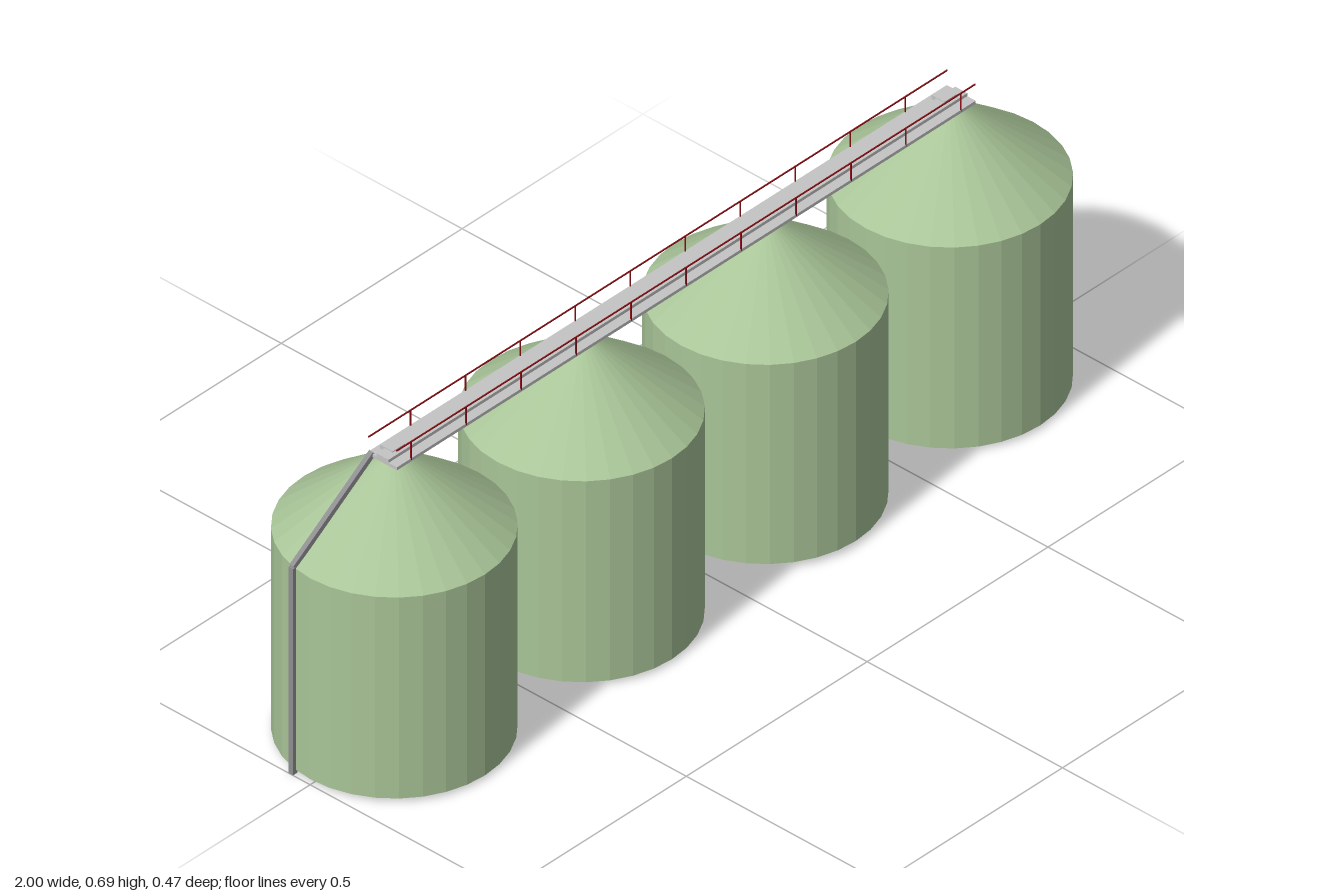
import * as THREE from 'three';

const mat = (name, color, side = THREE.FrontSide) => {
  const m = new THREE.MeshStandardMaterial({ color, side });
  m.name = name;
  return m;
};

export function createModel() {
  const model = new THREE.Group();
  const green = mat('pale green', 0xa9c598, THREE.DoubleSide);
  green.flatShading = true;
  const lightGrey = mat('light grey', 0xc4c4c4);
  const grey = mat('grey', 0x8e8e90);
  const red = mat('dark red', 0x8a1015);

  const add = (parent, name, geometry, material, x = 0, y = 0, z = 0) => {
    const mesh = new THREE.Mesh(geometry, material);
    mesh.name = name;
    mesh.position.set(x, y, z);
    parent.add(mesh);
    return mesh;
  };
  // Box given by its extents on each axis
  const box = (parent, name, material, [x0, x1], [y0, y1], [z0, z1]) =>
    add(parent, name, new THREE.BoxGeometry(x1 - x0, y1 - y0, z1 - z0), material,
      (x0 + x1) / 2, (y0 + y1) / 2, (z0 + z1) / 2);
  // Square bar between two points
  const bar = (parent, name, material, a, b, width) => {
    const mesh = add(parent, name, new THREE.BoxGeometry(width, width, a.distanceTo(b)), material);
    mesh.position.copy(a).lerp(b, 0.5);
    mesh.lookAt(b);
  };

  // Four bins: open-bottomed wall, conical roof and small cap
  const radius = 0.232, capRadius = 0.02, eave = 0.475, peak = 0.641, sides = 32;
  const bins = [[-0.764, 0.009, -0.003], [-0.252, 0.009, 0.002], [0.256, 0.013, 0.002], [0.767, 0.009, 0.001]];
  bins.forEach(([x, base, z], i) => {
    const bin = new THREE.Group();
    bin.name = `bin${i + 1}`;
    bin.position.set(x, 0, z);
    add(bin, 'wall', new THREE.CylinderGeometry(radius, radius, eave - base, sides, 1, true), green, 0, (eave + base) / 2);
    add(bin, 'roof', new THREE.CylinderGeometry(capRadius, radius, peak - eave, sides, 1, true), green, 0, (eave + peak) / 2);
    add(bin, 'roofCap', new THREE.CircleGeometry(capRadius, sides).rotateX(-Math.PI / 2), green, 0, peak);
    model.add(bin);
  });

  // Catwalk with conveyor and drive boxes
  const half = 0.8, deckTop = 0.648, edge = 0.037;
  const catwalk = new THREE.Group();
  catwalk.name = 'catwalk';
  box(catwalk, 'deck', lightGrey, [-half, half], [0.641, deckTop], [-edge, edge]);
  box(catwalk, 'conveyor', lightGrey, [-half, half], [deckTop, 0.655], [-0.0155, 0.0155]);
  for (const x of [-0.76, 0.765])
    box(catwalk, 'driveBox', lightGrey, [x - 0.017, x + 0.017], [deckTop, 0.657], [-0.028, 0.005]);
  model.add(catwalk);

  // Handrails, with the posts of the two sides staggered
  const rails = [[edge - 0.001, 0.687, -0.76], [-edge + 0.001, 0.684, -0.684]];
  const t = 0.0012;
  for (const [z, top, start] of rails) {
    const rail = new THREE.Group();
    rail.name = z > 0 ? 'frontRail' : 'backRail';
    box(rail, 'handrail', red, [-half, half], [top - 2 * t, top], [z - t, z + t]);
    for (let x = start; x < half; x += 0.152)
      box(rail, 'post', red, [x - t, x + t], [deckTop - 0.004, top], [z - t, z + t]);
    model.add(rail);
  }

  // Filling pipe up the wall and along the roof
  const foot = new THREE.Vector3(-0.994, 0, -0.05);
  const bend = new THREE.Vector3(-0.994, 0.478, -0.05);
  const head = new THREE.Vector3(-0.795, 0.648, -0.03);
  box(model, 'uprightPipe', grey, [foot.x - 0.006, foot.x + 0.006], [0, bend.y], [foot.z - 0.006, foot.z + 0.006]);
  bar(model, 'slopingPipe', grey, bend, head, 0.011);

  return model;
}
